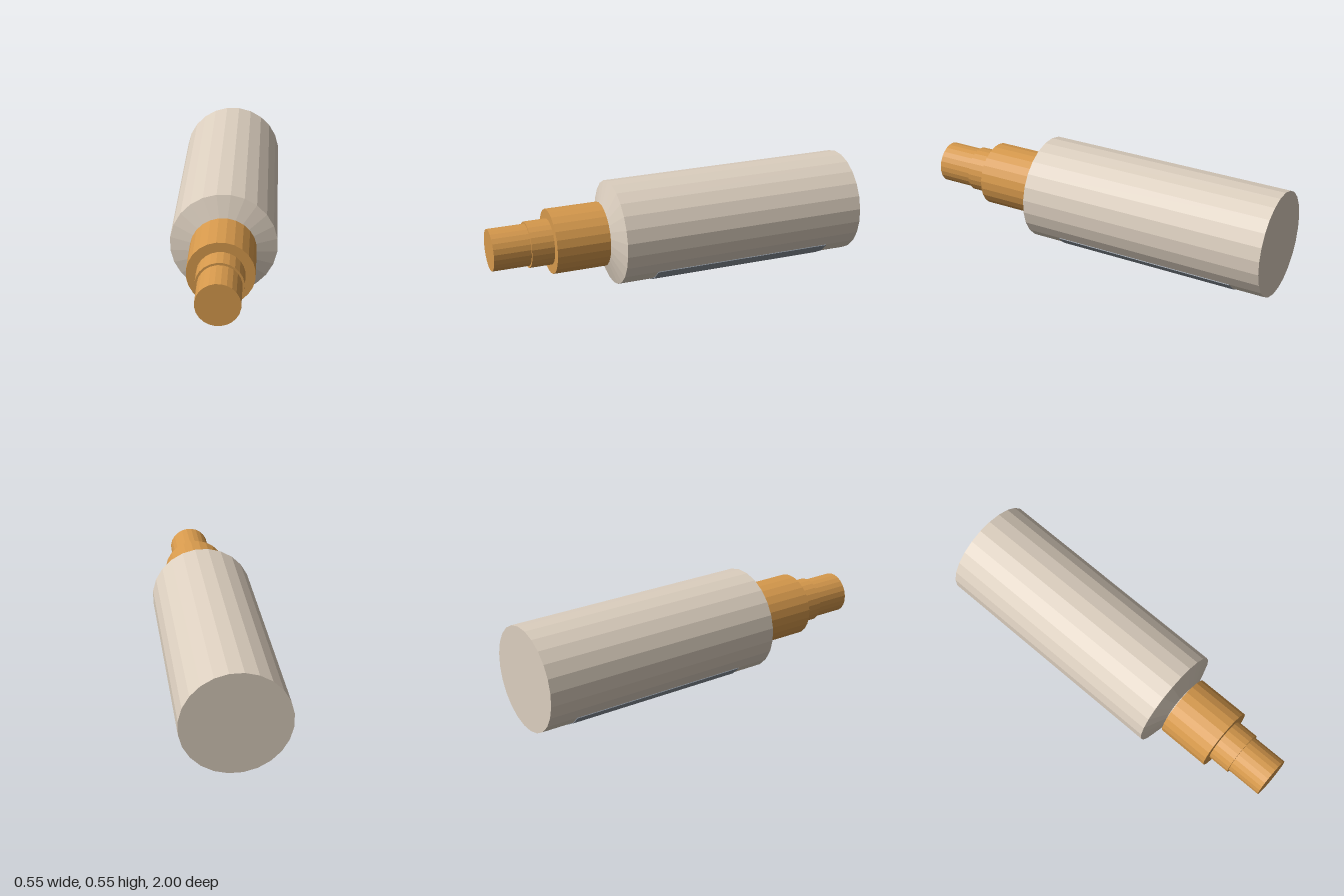
import * as THREE from 'three';

const SIDES = 24;
const STEP = (Math.PI * 2) / SIDES;
const AXIS_Y = 0.279;

const material = (color) => new THREE.MeshStandardMaterial({ color, flatShading: true });

// Faceted turned part along +z from [radius, z] points, with flats at top, bottom and sides
function turned(name, profile, mat) {
  const points = profile.map(([r, z]) => new THREE.Vector2(r, z));
  const geometry = new THREE.LatheGeometry(points, SIDES, STEP / 2);
  geometry.rotateX(Math.PI / 2);
  const mesh = new THREE.Mesh(geometry, mat);
  mesh.name = name;
  mesh.position.y = AXIS_Y;
  return mesh;
}

// Closed cylinder between two z positions
const rod = (name, r, z0, z1, mat) => turned(name, [[0, z0], [r, z0], [r, z1], [0, z1]], mat);

export function createModel() {
  const group = new THREE.Group();
  group.name = 'cylinderWithSteppedTip';
  const casing = material(0xdccfbf);
  const copper = material(0xd6994c);
  const steel = material(0x8a929c);

  // Main casing with conical shoulder and short neck
  group.add(turned('casing', [
    [0, -1], [0.277, -1], [0.277, 0.345], [0.131, 0.39], [0.131, 0.4], [0, 0.4],
  ], casing));

  // Stepped copper tip
  group.add(rod('collar', 0.171, 0.4, 0.685, copper));
  group.add(rod('tipBase', 0.121, 0.685, 0.805, copper));
  group.add(rod('tip', 0.11, 0.805, 1, copper));

  // Thin curved plate wrapped under the casing, seven facets wide
  const arc = (r) => Array.from({ length: 8 }, (_, i) => {
    const a = -Math.PI / 2 + (i - 3.5) * STEP;
    return new THREE.Vector2(r * Math.cos(a), r * Math.sin(a));
  });
  const section = new THREE.Shape([...arc(0.281), ...arc(0.272).reverse()]);
  const plate = new THREE.Mesh(
    new THREE.ExtrudeGeometry(section, { depth: 0.99, bevelEnabled: false }), steel);
  plate.name = 'undersidePlate';
  plate.position.set(0, AXIS_Y, -0.83);
  group.add(plate);

  return group;
}
